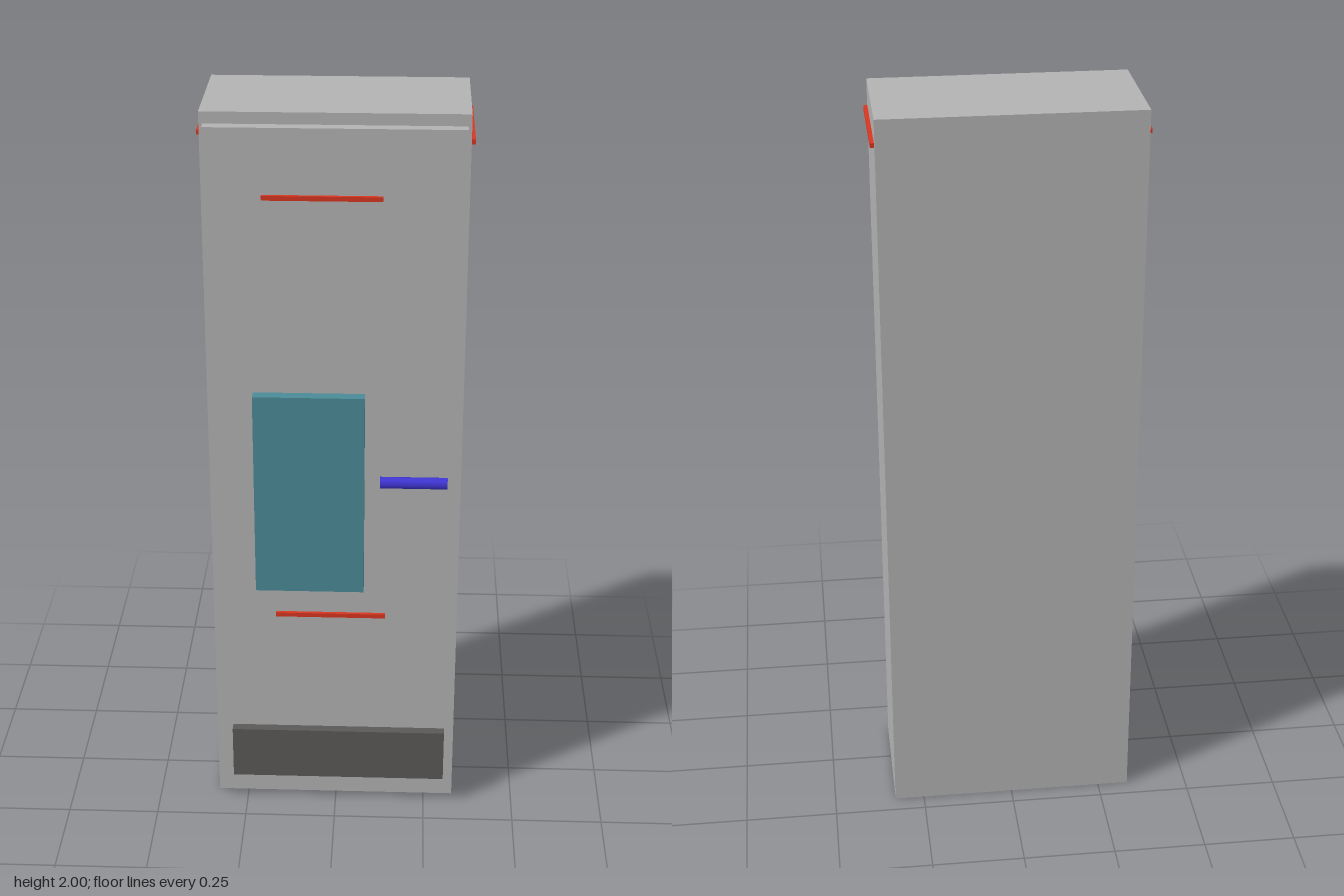
import * as THREE from 'three';

const mat = (name, color) => {
  const m = new THREE.MeshStandardMaterial({ color });
  m.name = name;
  return m;
};

export function createModel() {
  const group = new THREE.Group();
  group.name = 'cabinet';

  const grey = mat('light grey', 0xb3b3b3);
  const dark = mat('dark grey', 0x5b5a58);
  const teal = mat('teal', 0x4b8c98);
  const red = mat('red', 0xd93620);
  const blue = mat('blue', 0x4036d6);

  // Box given by its extents on each axis
  const box = (name, material, [x0, x1], [y0, y1], [z0, z1]) => {
    const mesh = new THREE.Mesh(new THREE.BoxGeometry(x1 - x0, y1 - y0, z1 - z0), material);
    mesh.position.set((x0 + x1) / 2, (y0 + y1) / 2, (z0 + z1) / 2);
    mesh.name = name;
    group.add(mesh);
  };

  // Cabinet body and the raised door
  box('body', grey, [-0.334, 0.331], [0, 2], [-0.201, 0.131]);
  box('door', grey, [-0.324, 0.322], [0.035, 1.97], [0.131, 0.162]);

  // Panel and kick plate on the door
  box('panel', teal, [-0.212, 0.077], [0.702, 1.272], [0.169, 0.2]);
  box('kickPlate', dark, [-0.287, 0.304], [0.09, 0.244], [0.162, 0.188]);

  // Thin red strips on the door and the sides
  box('upperStrip', red, [-0.182, 0.118], [1.789, 1.801], [0.16, 0.171]);
  box('lowerStrip', red, [-0.161, 0.135], [0.604, 0.616], [0.16, 0.171]);
  box('leftSideStrip', red, [0.33, 0.341], [1.922, 1.934], [-0.176, 0.121]);
  box('rightSideStrip', red, [-0.342, -0.333], [1.936, 1.948], [-0.184, 0.113]);

  // Horizontal bar handle
  const bar = new THREE.CylinderGeometry(0.016, 0.016, 0.177, 8);
  bar.rotateZ(Math.PI / 2);
  const handle = new THREE.Mesh(bar, blue);
  handle.position.set(0.206, 1.023, 0.179);
  handle.name = 'handle';
  group.add(handle);

  return group;
}
